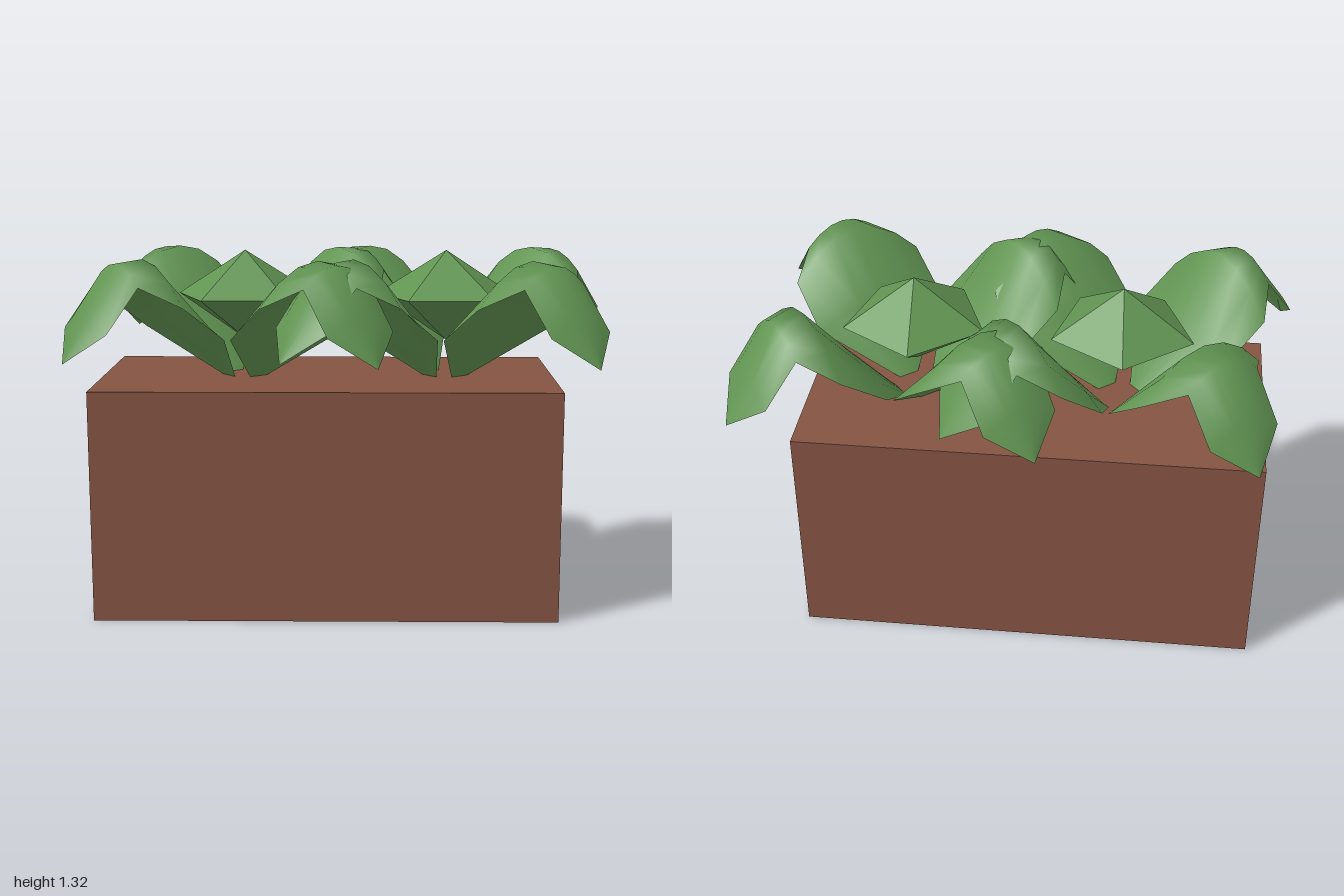
import * as THREE from 'three';

// Leaf cross-sections: [distance out, half width, midrib height, edge height]
const LEAF_ROWS = [
  [0.08, 0.04, 0.85, 0.85],
  [0.28, 0.265, 1.09, 1.03],
  [0.45, 0.262, 1.31, 1.155],
  [0.56, 0.15, 1.3, 1.225],
  [0.69, 0.147, 1.13, 1.07],
  [0.785, 0, 0.96, 0.96],
];
const COLUMNS = 6;

// Arched leaf with a raised midrib, growing along +x
function leafGeometry() {
  const positions = [];
  const indices = [];
  LEAF_ROWS.forEach(([out, half, mid, edge], i) => {
    for (let j = 0; j <= COLUMNS; j++) {
      const t = (j / COLUMNS) * 2 - 1;
      const y = mid + (edge - mid) * t * t;
      positions.push(out, y, half * t);
      if (i < LEAF_ROWS.length - 1 && j < COLUMNS) {
        const a = i * (COLUMNS + 1) + j;
        const c = a + COLUMNS + 1;
        indices.push(a, a + 1, c);
        if (i < LEAF_ROWS.length - 2) indices.push(a + 1, c + 1, c);
      }
    }
  });
  const geometry = new THREE.BufferGeometry();
  geometry.setAttribute('position', new THREE.Float32BufferAttribute(positions, 3));
  geometry.setIndex(indices);
  geometry.computeVertexNormals();
  return geometry;
}

// Faceted five-sided bud
function budGeometry() {
  const profile = [[0, 0.98], [0.27, 1.15], [0, 1.32]].map(([r, y]) => new THREE.Vector2(r, y));
  const geometry = new THREE.LatheGeometry(profile, 5).toNonIndexed();
  geometry.computeVertexNormals();
  return geometry;
}

export function createModel() {
  const model = new THREE.Group();
  const clay = new THREE.MeshStandardMaterial({ color: 0x855443 });
  clay.name = 'clay brown';
  const green = new THREE.MeshStandardMaterial({ color: 0x619452, side: THREE.DoubleSide });
  green.name = 'leaf green';

  // Solid planter box
  const planter = new THREE.Mesh(new THREE.BoxGeometry(1.7, 0.85, 0.85), clay);
  planter.name = 'planterBox';
  planter.position.set(-0.07, 0.425, 0.003);
  model.add(planter);

  // Two identical plants: four leaves around a bud
  const leafShape = leafGeometry();
  const budShape = budGeometry();
  for (const x of [-0.383, 0.377]) {
    const plant = new THREE.Group();
    plant.name = x < 0 ? 'rightPlant' : 'leftPlant';
    plant.position.x = x;
    for (let k = 0; k < 4; k++) {
      const leaf = new THREE.Mesh(leafShape, green);
      leaf.name = 'leaf';
      leaf.rotation.y = -THREE.MathUtils.degToRad(50.4 + 90 * k);
      plant.add(leaf);
    }
    const bud = new THREE.Mesh(budShape, green);
    bud.name = 'bud';
    bud.rotation.y = Math.PI + 0.05;
    bud.position.z = -0.015;
    plant.add(bud);
    model.add(plant);
  }
  return model;
}
